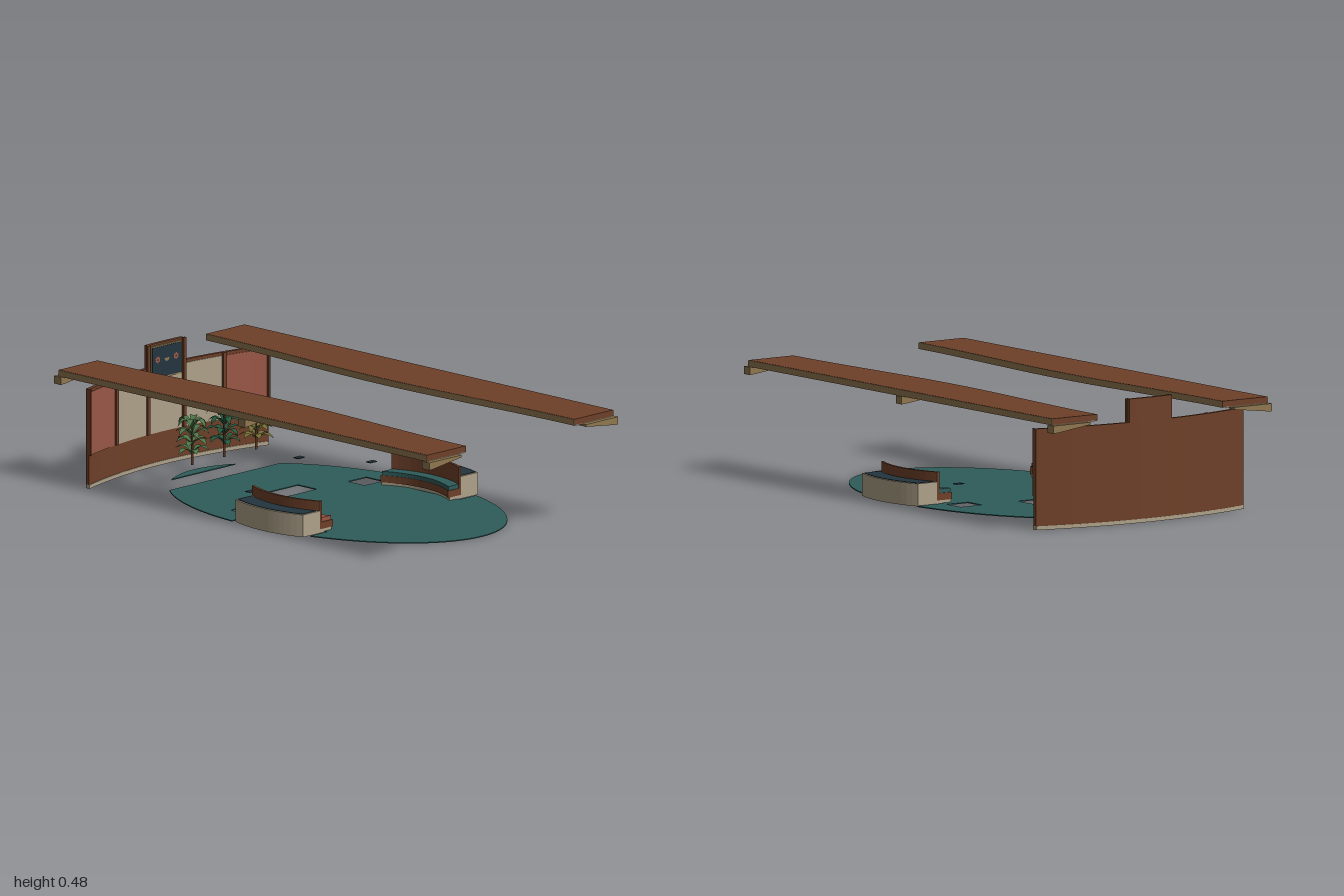
import * as THREE from 'three';

const mat = (name, color, side = THREE.FrontSide) => {
  const m = new THREE.MeshStandardMaterial({ color, side });
  m.name = name;
  return m;
};

export function createModel() {
  const root = new THREE.Group();
  root.name = 'loungePavilion';
  const wood = mat('walnut wood', 0x6e4029);
  const cream = mat('cream stone', 0xada189);
  const clay = mat('terracotta', 0x9a5746);
  const teal = mat('teal', 0x2e5c5a);
  const navy = mat('navy', 0x24353f);
  const tan = mat('tan trim', 0x8f7650);
  const greens = [
    mat('mid green leaf', 0x4d7549, THREE.DoubleSide),
    mat('dark green leaf', 0x25573d, THREE.DoubleSide),
    mat('olive leaf', 0x737036, THREE.DoubleSide),
  ];

  const add = (name, geo, material, parent = root) => {
    const m = new THREE.Mesh(geo, material);
    m.name = name;
    parent.add(m);
    return m;
  };
  const box = (name, material, x0, x1, y0, y1, z0, z1, parent) =>
    add(name, new THREE.BoxGeometry(x1 - x0, y1 - y0, z1 - z0)
      .translate((x0 + x1) / 2, (y0 + y1) / 2, (z0 + z1) / 2), material, parent);
  const toV = (pts) => pts.map(([x, z]) => new THREE.Vector2(x, -z));
  // Extrudes an [x, z] plan outline from y0 up to y1
  const plan = (name, material, pts, y0, y1, parent, holes = []) => {
    const s = new THREE.Shape(toV(pts));
    holes.forEach((h) => s.holes.push(new THREE.Path(toV(h))));
    const g = new THREE.ExtrudeGeometry(s, { depth: y1 - y0, bevelEnabled: false });
    return add(name, g.rotateX(-Math.PI / 2).translate(0, y0, 0), material, parent);
  };
  const range = (a, b, n, f) => Array.from({ length: n + 1 }, (_, i) => f(a + ((b - a) * i) / n));
  const rect = (x0, x1, z0, z1) => [[x0, z0], [x1, z0], [x1, z1], [x0, z1]];
  const mirror = (pts) => pts.map(([x, z]) => [-x, z]).reverse();

  // Oval floor with openings, bench notches and a gap for the planting bed
  const oval = (z) => [0.49 * Math.sqrt(Math.max(0, 1 - ((z - 0.01) / 0.765) ** 2)), z];
  const frontArc = range(0, 1, 24, (t) => oval(0.775 - 0.47 * t * t));
  const half = [...frontArc, [0.36, 0.305], [0.36, -0.08], ...range(-0.08, -0.59, 12, oval)];
  const sideHole = rect(0.27, 0.37, -0.2, -0.11);
  plan('floor', teal, [...half, ...mirror(half).slice(0, -1)], 0, 0.004, root,
    [rect(-0.1, 0.1, -0.3, -0.2), sideHole, mirror(sideHole)]);
  const tip = range(0, 1, 14, (t) => oval(-0.755 + 0.05 * t * t));
  plan('floorBackSegment', teal, [...tip, ...mirror(tip).slice(0, -1)], 0, 0.004);

  // Small loose plates above the floor openings
  box('deskTablet', navy, 0.015, 0.05, 0.133, 0.137, -0.24, -0.215);
  for (const s of [-1, 1])
    box('sideTablet', navy, s * 0.33 - 0.018, s * 0.33 + 0.018, 0.081, 0.084, -0.145, -0.12);

  // Canopies with a bowed inner edge, soffit, edge trim and tapered beams
  const inner = (z, o = 0) => 0.295 - 0.04 * (0.5 + 0.5 * Math.cos((Math.PI * z) / 0.98)) + o;
  for (const s of [-1, 1]) {
    const g = new THREE.Group();
    g.name = s > 0 ? 'leftCanopy' : 'rightCanopy';
    root.add(g);
    const edge = (o) => range(-0.98, 0.98, 28, (z) => [s * inner(z, o), z]);
    const outline = (o) => [...edge(o), [s * (0.509 - o), 0.98], [s * (0.509 - o), -0.98]];
    plan('canopyDeck', wood, outline(0.002), 0.422, 0.445, g);
    plan('canopySoffit', cream, outline(0.004), 0.419, 0.422, g);
    plan('canopyInnerTrim', tan, [...edge(0), ...edge(0.002).reverse()], 0.42, 0.444, g);
    box('canopyOuterTrim', tan, s * 0.5085 - 0.0015, s * 0.5085 + 0.0015, 0.42, 0.444, -0.98, 0.98, g);
    for (const z of [-0.98, 0, 0.98]) {
      const p = [[0.516, 0.39], [0.516, 0.42], [0.34, 0.42], [0.34, 0.411], [0.49, 0.392]];
      const shape = new THREE.Shape(p.map(([x, y]) => new THREE.Vector2(s * x, y)));
      const b = new THREE.ExtrudeGeometry(shape, { depth: 0.038, bevelEnabled: false });
      add('canopyBeam', b.translate(0, 0, z - 0.019), tan, g);
    }
  }

  // Curved back wall
  const wall = new THREE.Group();
  wall.name = 'backWall';
  root.add(wall);
  const wallArc = (r) => (x) => [x, 0.755 - Math.sqrt(r * r - x * x)];
  const slab = (name, material, x0, x1, y0, y1, r0, r1) => {
    const n = Math.max(2, Math.round((x1 - x0) * 28));
    plan(name, material, [...range(x0, x1, n, wallArc(r1)), ...range(x1, x0, n, wallArc(r0))], y0, y1, wall);
  };
  slab('wallPlinth', cream, -0.49, 0.49, 0, 0.015, 1.662, 1.681);
  slab('wallPanel', wood, -0.49, 0.49, 0.015, 0.39, 1.665, 1.68);
  slab('wallCrest', wood, -0.1, 0.1, 0.39, 0.48, 1.665, 1.68);
  for (const s of [-1, 1]) {
    const span = (a, b) => (s > 0 ? [a, b] : [-b, -a]);
    slab('terracottaPanel', clay, ...span(0.305, 0.482), 0.13, 0.378, 1.662, 1.665);
    slab('creamPanel', cream, ...span(0.108, 0.283), 0.13, 0.378, 1.662, 1.665);
    for (const [a, b, top] of [[0.091, 0.105, 0.48], [0.286, 0.302, 0.39], [0.484, 0.49, 0.39]])
      slab('wallPost', wood, ...span(a, b), 0.13, top, 1.656, 1.666);
  }
  slab('centrePanel', cream, -0.088, 0.088, 0.13, 0.342, 1.662, 1.665);

  // Wall screen with a frame and small ornaments
  box('screenFrame', tan, -0.085, 0.085, 0.342, 0.472, -0.912, -0.902, wall);
  box('screen', navy, -0.079, 0.079, 0.348, 0.467, -0.903, -0.9, wall);
  const ornament = (name, material, x, y, r, n) => {
    for (let i = 0; i < n; i++) {
      const a = (i / n) * Math.PI * 2 + Math.PI / 2;
      add(name, new THREE.CircleGeometry(r * 0.42, 6)
        .translate(x + Math.cos(a) * r * 0.65, y + Math.sin(a) * r * 0.65, -0.899), material, wall);
    }
  };
  for (const x of [-0.05, 0.05]) ornament('sideOrnament', clay, x, 0.417, 0.013, 6);
  add('centreOrnament', new THREE.CircleGeometry(0.013, 8, Math.PI, Math.PI)
    .translate(0, 0.418, -0.899), tan, wall);

  // Curved benches with a trough behind the backrest
  const benchArc = (s, r, h) => (z) => [s * Math.sqrt(r * r - z * z), z + 0.11];
  for (const s of [-1, 1]) {
    const g = new THREE.Group();
    g.name = s > 0 ? 'leftBench' : 'rightBench';
    root.add(g);
    const ring = (name, material, r0, r1, y0, y1, h = 0.18) => plan(name, material,
      [...range(-h, h, 14, benchArc(s, r0)), ...range(h, -h, 14, benchArc(s, r1))], y0, y1, g);
    ring('benchPlinth', cream, 0.368, 0.51, 0, 0.015);
    ring('benchTrough', cream, 0.426, 0.51, 0.015, 0.087);
    ring('troughFill', navy, 0.432, 0.502, 0.085, 0.089, 0.172);
    ring('benchBack', wood, 0.415, 0.426, 0.015, 0.125);
    ring('benchSeat', wood, 0.363, 0.415, 0.015, 0.042);
    ring('benchCushion', s > 0 ? teal : clay, 0.365, 0.414, 0.042, 0.058, 0.176);
  }

  // Arching leaf: folded cross-sections along a curved spine
  const leafGeo = (len, width, rise) => {
    const pos = [], idx = [], n = 7;
    for (let i = 0; i <= n; i++) {
      const t = i / n;
      const y = rise * (2.4 * t - 2.1 * t * t);
      const w = i === n ? 0 : 0.0015 + width * Math.sin(Math.PI * t ** 1.2) ** 0.9;
      for (const k of [-1, 0, 1]) pos.push(len * t, y + Math.abs(k) * w * 0.3, k * w);
      if (i < n) for (const k of [0, 1]) {
        const a = i * 3 + k;
        idx.push(a, a + 1, a + 3, a + 1, a + 4, a + 3);
      }
    }
    const g = new THREE.BufferGeometry();
    g.setAttribute('position', new THREE.Float32BufferAttribute(pos, 3));
    g.setIndex(idx);
    g.computeVertexNormals();
    return g;
  };

  // Three leafy plants, each with stacked tiers
  [[-0.175, 0.87, 0], [0, 1, 1], [0.175, 0.8, 2]].forEach(([x, k, c]) => {
    const g = new THREE.Group();
    g.name = 'plant';
    g.position.set(x, 0.08, -0.595);
    root.add(g);
    add('plantStem', new THREE.CylinderGeometry(0.003, 0.005, 0.17 * k, 7).translate(0, 0.085 * k, 0), wood, g);
    const tiers = [[0.048, 0.078, 0.04], [0.085, 0.08, 0.045], [0.12, 0.078, 0.055], [0.15, 0.072, 0.085]];
    tiers.forEach(([y, len, rise], t) => {
      for (let i = 0; i < 6; i++) {
        const f = 1 - 0.07 * ((i * 2 + t) % 3);
        const leaf = add('leaf', leafGeo(len * f * (0.6 + 0.4 * k), 0.0135, rise * f * k), greens[c], g);
        leaf.position.y = y * k + 0.004 * (i % 3);
        leaf.rotation.y = (i / 6) * Math.PI * 2 + t * 0.55 + c;
      }
    });
  });

  return root;
}
